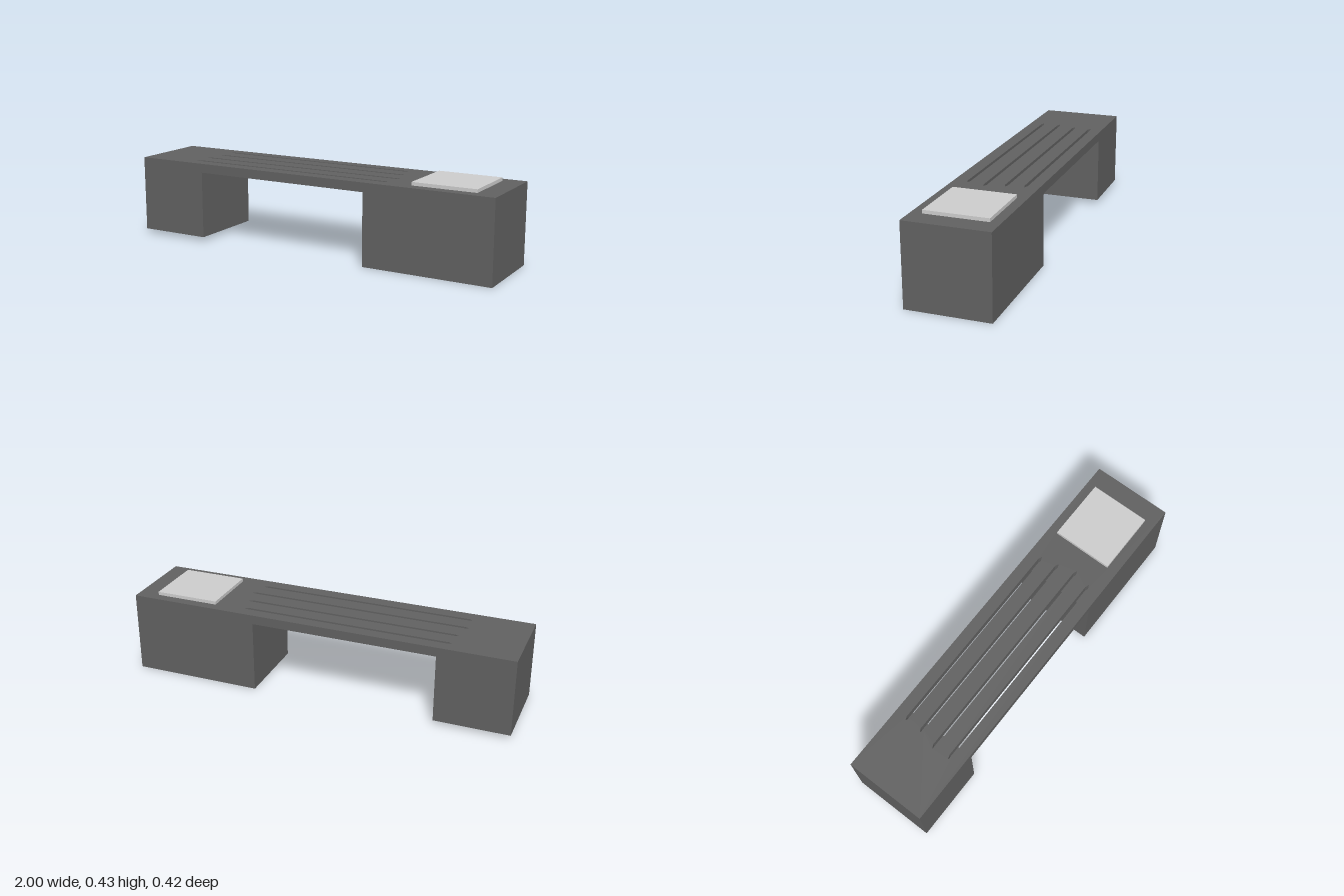
import * as THREE from 'three';

const dark = new THREE.MeshStandardMaterial({ color: 0x606060 });
const grey = new THREE.MeshStandardMaterial({ color: 0xcccccc });

const HALF_DEPTH = 0.211, SLAB_BOTTOM = 0.37, SLAB_TOP = 0.417;

// Box given by its min and max on each axis
function block(name, material, [x0, x1], [y0, y1], [z0, z1]) {
  const mesh = new THREE.Mesh(new THREE.BoxGeometry(x1 - x0, y1 - y0, z1 - z0), material);
  mesh.position.set((x0 + x1) / 2, (y0 + y1) / 2, (z0 + z1) / 2);
  mesh.name = name;
  return mesh;
}

// Slab drawn in plan (shape y = -z), pierced by long slots with tapered ends
function slottedSlab() {
  const d = HALF_DEPTH;
  const outline = new THREE.Shape([[-1, -d], [1, -d], [1, d], [-1, d]].map(p => new THREE.Vector2(...p)));
  const slots = [
    [-0.675, 0.41, -0.143],
    [-0.68, 0.43, -0.052],
    [-0.705, 0.455, 0.045],
    [-0.7, 0.43, 0.138],
  ];
  const h = 0.008, taper = 0.02;
  for (const [x0, x1, z] of slots) {
    const points = [
      [x0, -z], [x0 + taper, -z + h], [x1 - taper, -z + h],
      [x1, -z], [x1 - taper, -z - h], [x0 + taper, -z - h],
    ];
    outline.holes.push(new THREE.Path(points.map(p => new THREE.Vector2(...p))));
  }
  const geometry = new THREE.ExtrudeGeometry(outline, { depth: SLAB_TOP - SLAB_BOTTOM, bevelEnabled: false });
  geometry.rotateX(-Math.PI / 2);
  const mesh = new THREE.Mesh(geometry, dark);
  mesh.position.y = SLAB_BOTTOM;
  mesh.name = 'slottedSeatSlab';
  return mesh;
}

export function createModel() {
  const model = new THREE.Group();
  model.name = 'bench';
  const depth = [-HALF_DEPTH, HALF_DEPTH];
  model.add(
    slottedSlab(),
    // The two supports close the slot ends from below
    block('narrowSupport', dark, [-1, -0.617], [0.022, SLAB_BOTTOM], depth),
    block('wideSupport', dark, [0.333, 1], [0, SLAB_BOTTOM], depth),
    // Raised pad on the wide end
    block('topPad', grey, [0.562, 0.892], [SLAB_TOP, 0.434], [-0.161, 0.155]),
  );
  return model;
}
